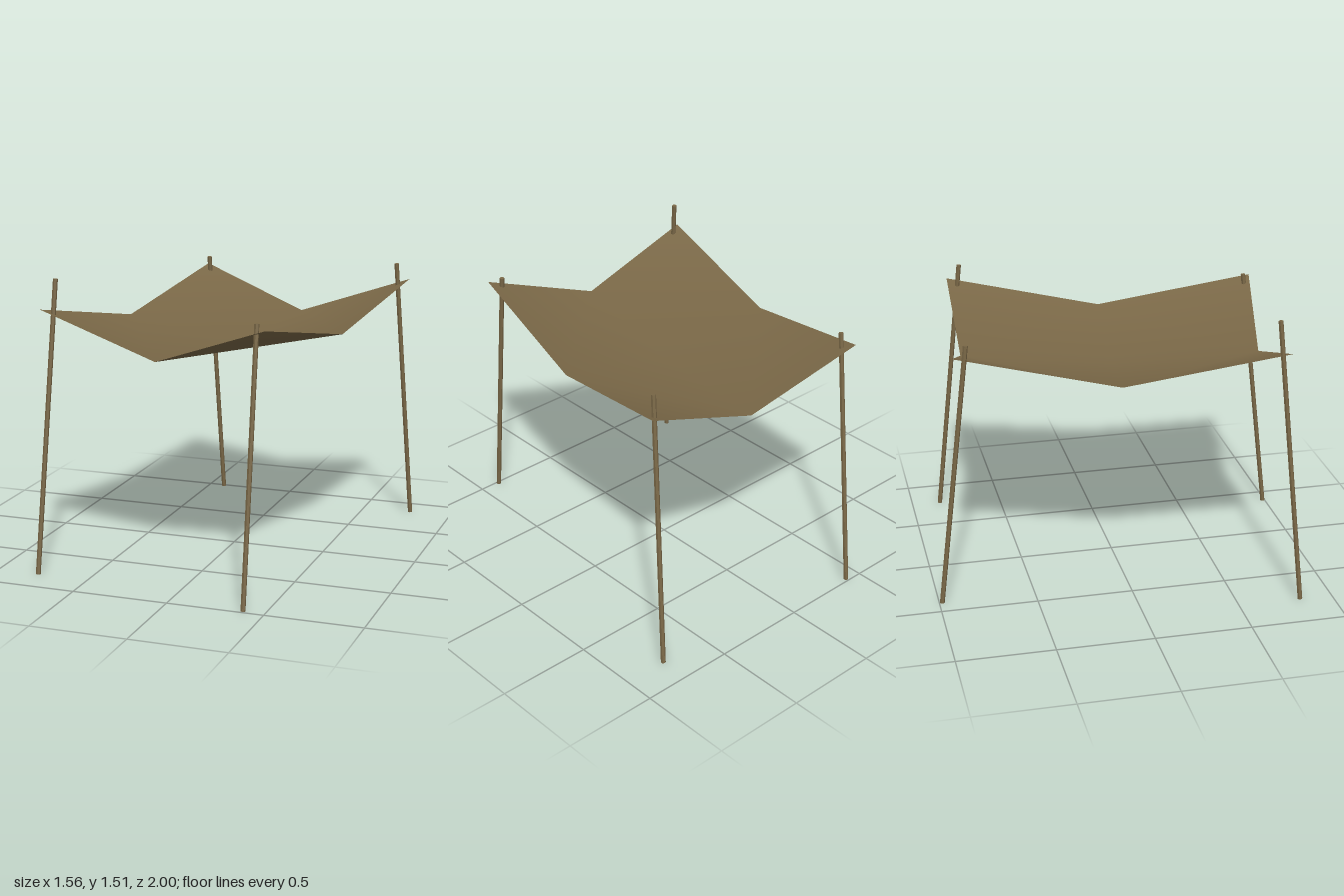
import * as THREE from 'three';

const canvasBrown = new THREE.MeshStandardMaterial({ color: 0x7a6847, side: THREE.DoubleSide });
canvasBrown.name = 'canvasBrown';

// Straight six-sided pole between two points
function makePole(name, base, top) {
  const a = new THREE.Vector3(...base), b = new THREE.Vector3(...top);
  const dir = b.clone().sub(a);
  const geometry = new THREE.CylinderGeometry(0.0125, 0.0125, dir.length(), 6).toNonIndexed();
  geometry.computeVertexNormals(); // faceted sides
  const mesh = new THREE.Mesh(geometry, canvasBrown);
  mesh.position.copy(a).add(b).multiplyScalar(0.5);
  mesh.quaternion.setFromUnitVectors(new THREE.Vector3(0, 1, 0), dir.normalize());
  mesh.name = name;
  return mesh;
}

// Sagging sheet: a 3 x 3 grid, back row first, each row from -x to +x
function makeSheet() {
  const points = [
    [-0.472, 1.362, -0.895], [0.13, 1.145, -0.775], [0.755, 1.362, -0.755],
    [-0.62, 1.2, -0.08], [0, 1.093, 0], [0.607, 1.2, 0.06],
    [-0.768, 1.362, 0.735], [-0.145, 1.145, 0.757], [0.46, 1.362, 0.88],
  ];
  const geometry = new THREE.BufferGeometry();
  geometry.setAttribute('position', new THREE.Float32BufferAttribute(points.flat(), 3));
  // Each quarter folds between its edge midpoints, so the corners flare up
  geometry.setIndex([
    0, 3, 1, 1, 3, 4,
    2, 1, 5, 1, 4, 5,
    6, 7, 3, 3, 7, 4,
    8, 5, 7, 4, 7, 5,
  ]);
  geometry.computeVertexNormals();
  const mesh = new THREE.Mesh(geometry, canvasBrown);
  mesh.name = 'canopySheet';
  return mesh;
}

export function createModel() {
  const model = new THREE.Group();
  model.name = 'canopy';
  model.add(
    makeSheet(),
    makePole('frontRightPole', [-0.773, 0.002, 0.828], [-0.701, 1.514, 0.687]),
    makePole('frontLeftPole', [0.391, 0.002, 0.987], [0.404, 1.385, 0.83]),
    makePole('backRightPole', [-0.411, 0.002, -0.985], [-0.439, 1.413, -0.822]),
    makePole('backLeftPole', [0.77, 0.002, -0.843], [0.695, 1.453, -0.693]),
  );
  return model;
}
